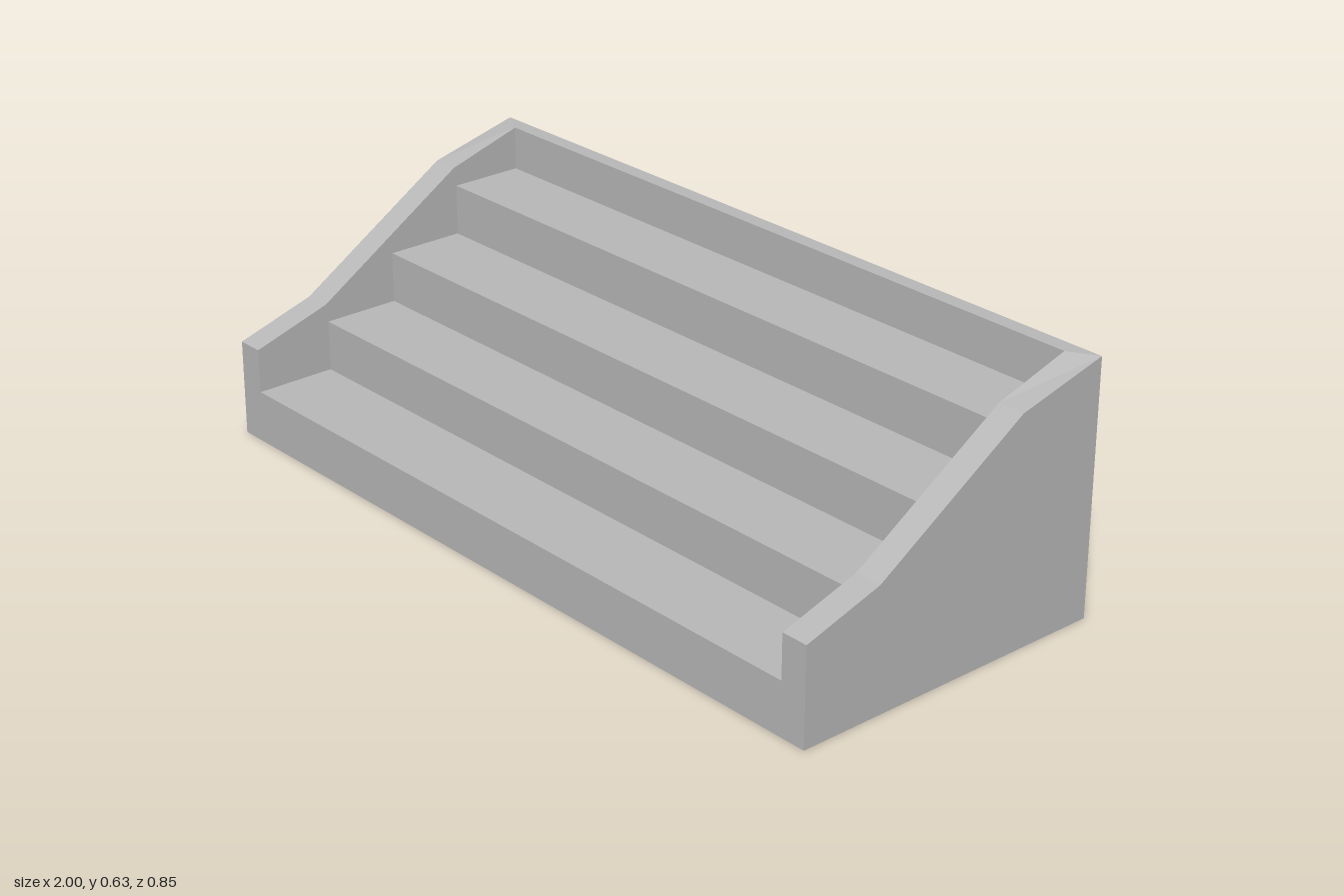
import * as THREE from 'three';

const HALF = 1, INNER = 0.93, BACK = -0.425, RIM = -0.385, TOP = 0.63;

// Extrude a (z, y) side profile between x0 and x1, then adjust its corners by a rule
function sideProfile(name, points, x0, x1, material, rule) {
  const shape = new THREE.Shape(points.map(([z, y]) => new THREE.Vector2(z, y)));
  const geometry = new THREE.ExtrudeGeometry(shape, { depth: x1 - x0, bevelEnabled: false });
  geometry.rotateY(-Math.PI / 2).translate(x1, 0, 0);
  const p = geometry.attributes.position;
  for (let i = 0; i < p.count; i++) {
    if (Math.abs(p.getZ(i) - BACK) < 1e-4) rule(p, i);
  }
  geometry.computeVertexNormals();
  const mesh = new THREE.Mesh(geometry, material);
  mesh.name = name;
  return mesh;
}

export function createModel() {
  const model = new THREE.Group();
  model.name = 'staircase';
  const stone = new THREE.MeshStandardMaterial({ color: 0xb8b8b8 });
  stone.name = 'grey stone';

  // Four treads and the back rim, as one solid
  const riserZ = [0.425, 0.215, 0.013, -0.193, RIM];
  const treadY = [0.133, 0.262, 0.391, 0.52, TOP];
  const steps = [[BACK, 0], [riserZ[0], 0]];
  riserZ.forEach((z, i) => {
    steps.push([z, treadY[i]]);
    if (i < 4) steps.push([riserZ[i + 1], treadY[i]]);
  });
  steps.push([BACK, TOP]);
  // The back rim widens to the outer corners in a mitre
  model.add(sideProfile('steps', steps, -INNER, INNER, stone,
    (p, i) => p.setX(i, Math.sign(p.getX(i)) * HALF)));

  // Sloping side walls, whose inner edges stop at the rim mitre
  const wall = [[BACK, 0], [0.425, 0], [0.425, 0.245], [0.22, 0.309], [-0.187, 0.569], [BACK, TOP]];
  const mitre = (p, i) => { if (Math.abs(p.getX(i)) < 0.95) p.setZ(i, RIM); };
  model.add(sideProfile('leftSideWall', wall, INNER, HALF, stone, mitre));
  model.add(sideProfile('rightSideWall', wall, -HALF, -INNER, stone, mitre));
  return model;
}
